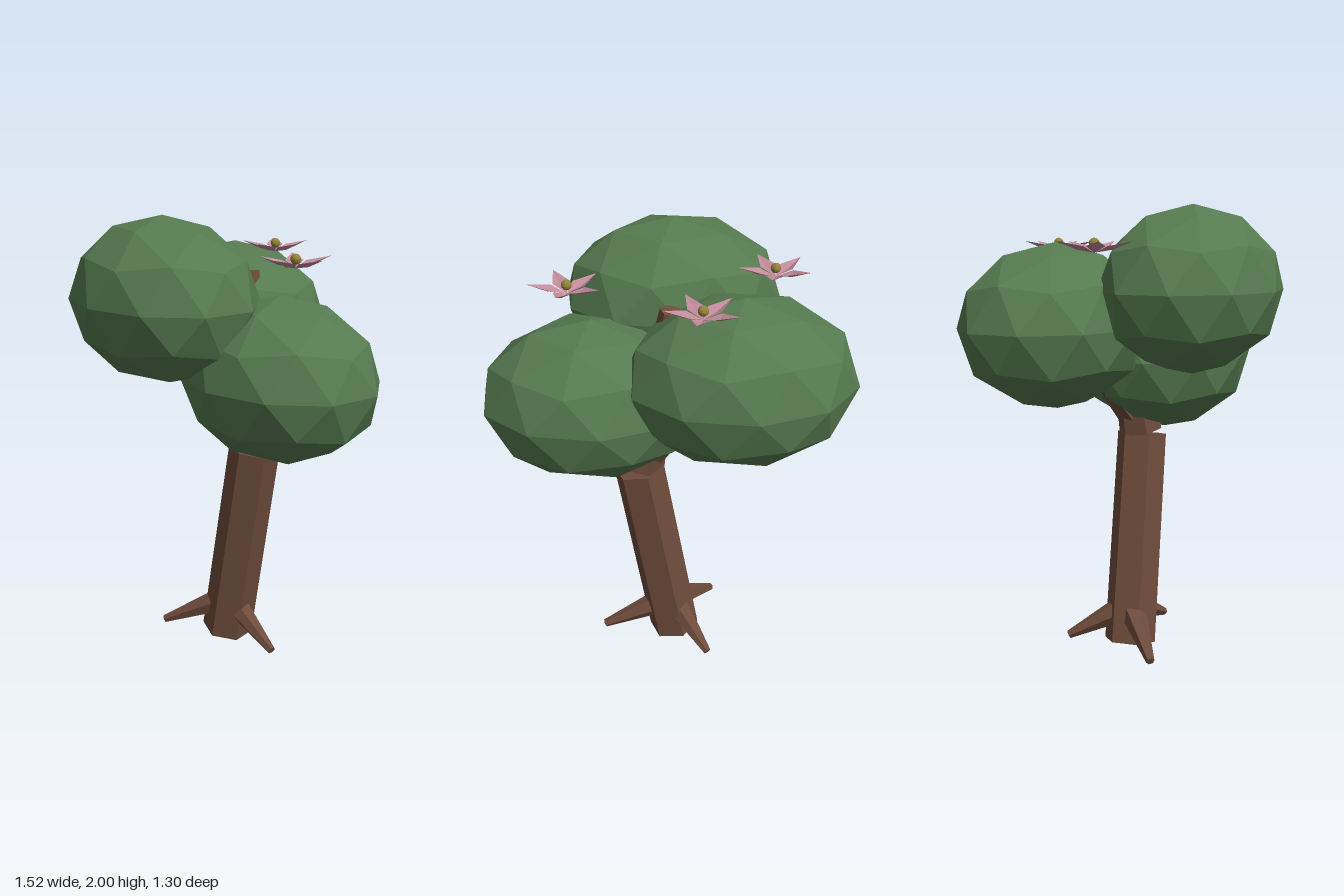
import * as THREE from 'three';

const mat = (name, color, side = THREE.FrontSide) => {
  const m = new THREE.MeshStandardMaterial({ color, flatShading: true, side });
  m.name = name;
  return m;
};

// Tapered six-sided limb between two points
function limb(name, material, from, to, r0, r1, spin = 0) {
  const a = new THREE.Vector3(...from), b = new THREE.Vector3(...to);
  const dir = b.clone().sub(a);
  const geo = new THREE.CylinderGeometry(r1, r0, dir.length(), 6, 1, false, spin);
  const mesh = new THREE.Mesh(geo, material);
  mesh.name = name;
  mesh.position.copy(a).add(b).multiplyScalar(0.5);
  mesh.quaternion.setFromUnitVectors(new THREE.Vector3(0, 1, 0), dir.normalize());
  return mesh;
}

// Faceted ball with a vertex at each pole
function ball(name, material, pos, size) {
  const geo = new THREE.IcosahedronGeometry(1, 1);
  geo.rotateZ(-Math.atan(2 / (1 + Math.sqrt(5))));
  geo.scale(...size);
  const mesh = new THREE.Mesh(geo, material);
  mesh.name = name;
  mesh.position.set(...pos);
  return mesh;
}

// One upturned kite-shaped petal, folded along its middle
function petalGeometry() {
  const base = [0, 0, 0], tip = [0.157, 0.045, 0];
  const mid = [0.075, 0.012, 0];
  const left = [0.062, 0.026, -0.038], right = [0.062, 0.026, 0.038];
  const tris = [base, mid, left, mid, tip, left, base, right, mid, mid, right, tip];
  const geo = new THREE.BufferGeometry();
  geo.setAttribute('position', new THREE.Float32BufferAttribute(tris.flat(), 3));
  geo.computeVertexNormals();
  return geo;
}

export function createModel() {
  const bark = mat('bark brown', 0x6e4c3c);
  const leaf = mat('leaf green', 0x567b50);
  const pink = mat('petal pink', 0xc18a9b, THREE.DoubleSide);
  const gold = mat('flower centre gold', 0x94843a);
  const tree = new THREE.Group();
  tree.name = 'tree';

  // Leaning trunk and the limbs hidden in the canopy
  const spin = Math.PI / 12;
  tree.add(limb('trunk', bark, [-0.063, 0.02, -0.04], [0.105, 0.975, -0.065], 0.119, 0.114, spin));
  tree.add(limb('upperTrunk', bark, [0.09, 0.99, -0.065], [-0.03, 1.745, -0.13], 0.1, 0.05, spin));
  tree.add(limb('leftBranch', bark, [0.09, 1.01, -0.07], [-0.2, 1.42, -0.22], 0.07, 0.045));

  // Roots splayed around the base
  for (const tip of [[0.28, 0.04, -0.035], [-0.28, 0.04, 0.18], [-0.19, 0.04, -0.295]]) {
    const start = [-0.045 + tip[0] * 0.08, 0.175, -0.04 + tip[2] * 0.08];
    tree.add(limb('root', bark, start, tip, 0.064, 0.019));
  }

  // Canopy
  tree.add(ball('frontCanopy', leaf, [-0.09, 1.648, 0.278], [0.482, 0.353, 0.37]));
  tree.add(ball('backCanopy', leaf, [-0.3, 1.49, -0.268], [0.484, 0.355, 0.383]));
  tree.add(ball('sideCanopy', leaf, [0.295, 1.332, -0.04], [0.484, 0.353, 0.385]));

  // Five-petalled flowers
  const petalGeo = petalGeometry();
  for (const [x, z] of [[-0.12, -0.362], [0.385, -0.042], [-0.488, 0.038]]) {
    const flower = new THREE.Group();
    flower.name = 'flower';
    flower.position.set(x, 1.805, z);
    for (let i = 0; i < 5; i++) {
      const petal = new THREE.Mesh(petalGeo, pink);
      petal.name = 'petal';
      petal.rotation.y = (i * 2 * Math.PI) / 5;
      flower.add(petal);
    }
    flower.add(ball('flowerCentre', gold, [0, 0.037, 0], [0.022, 0.022, 0.022]));
    tree.add(flower);
  }
  return tree;
}
